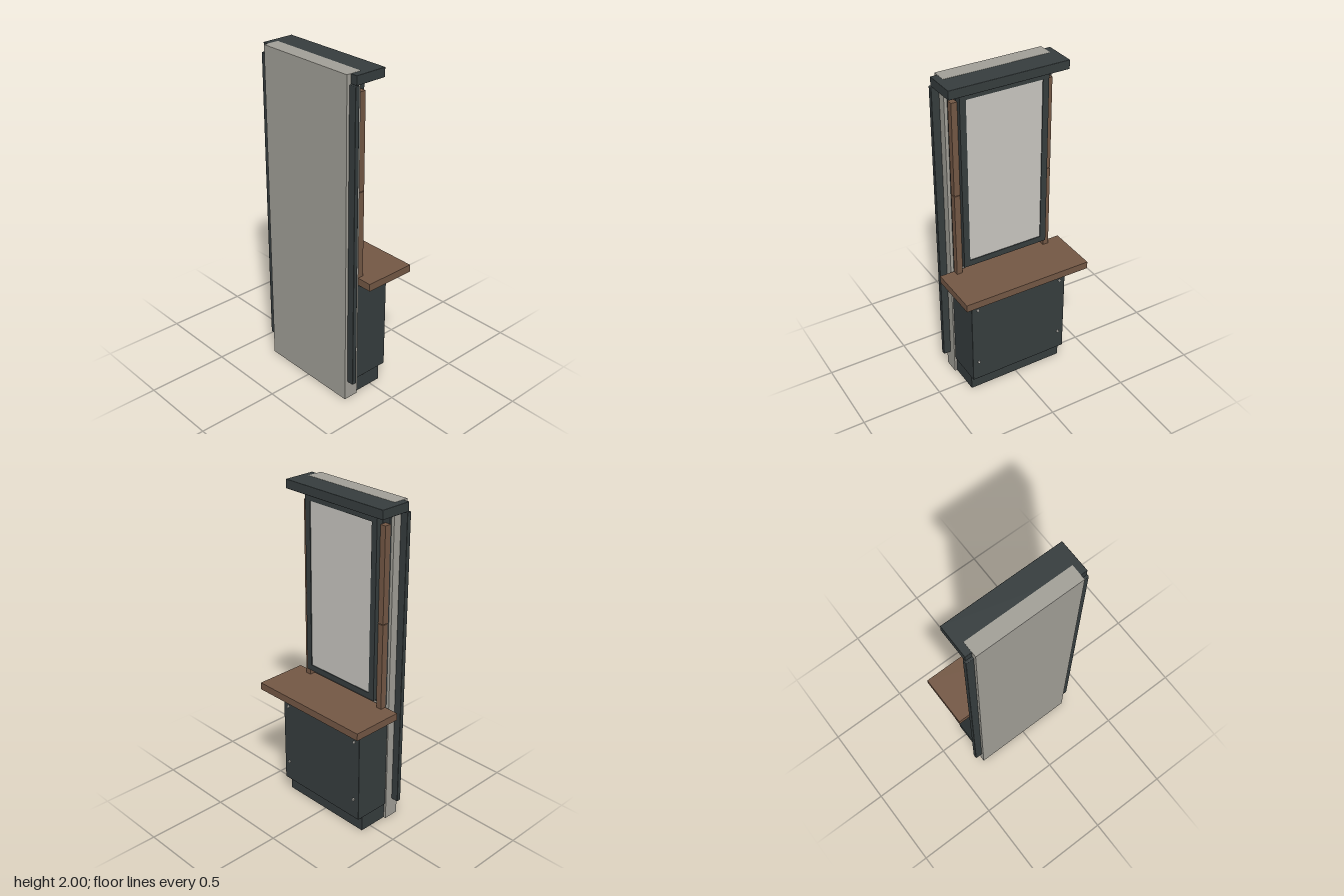
import * as THREE from 'three';
import { RoundedBoxGeometry } from 'three/addons/geometries/RoundedBoxGeometry.js';

const material = (name, color) => {
  const m = new THREE.MeshStandardMaterial({ color });
  m.name = name;
  return m;
};

export function createModel() {
  const group = new THREE.Group();
  const charcoal = material('charcoal', 0x363d3e);
  const stone = material('stone grey', 0xa2a098);
  const wood = material('brown wood', 0x745845);
  const pale = material('pale grey', 0xc9c7c1);

  const add = (name, geometry, mat) => {
    const mesh = new THREE.Mesh(geometry, mat);
    mesh.name = name;
    group.add(mesh);
    return mesh;
  };
  // Box from its limits on each axis, with optional softened edges
  const box = (name, mat, [x0, x1], [y0, y1], [z0, z1], radius = 0) => {
    const size = [x1 - x0, y1 - y0, z1 - z0];
    const geometry = radius
      ? new RoundedBoxGeometry(...size, 2, radius)
      : new THREE.BoxGeometry(...size);
    const mesh = add(name, geometry, mat);
    mesh.position.set((x0 + x1) / 2, (y0 + y1) / 2, (z0 + z1) / 2);
    return mesh;
  };

  // Upright back slab and canopy
  box('backSlab', stone, [-0.215, -0.12], [0, 2], [-0.327, 0.327]);
  box('canopy', charcoal, [-0.186, 0.012], [1.945, 1.999], [-0.368, 0.368], 0.003);
  box('canopyLight', pale, [-0.036, -0.026], [1.942, 1.946], [-0.29, 0.29]);

  // Base cabinet, plinth and counter
  box('plinth', charcoal, [-0.121, 0.07], [0, 0.11], [-0.312, 0.312]);
  box('cabinet', charcoal, [-0.121, 0.11], [0.1, 0.735], [-0.32, 0.32], 0.004);
  box('counter', wood, [-0.106, 0.215], [0.735, 0.78], [-0.405, 0.405]);

  // Screws on the cabinet front
  for (const y of [0.23, 0.625]) {
    for (const z of [-0.28, 0.28]) {
      const screw = add('screw', new THREE.CylinderGeometry(0.008, 0.008, 0.01, 16), pale);
      screw.rotation.z = -Math.PI / 2;
      screw.position.set(0.112, y, z);
    }
  }

  // Side rails and two-piece wooden battens, mirrored
  for (const s of [-1, 1]) {
    const span = (a, b) => (s > 0 ? [a, b] : [-b, -a]);
    box('sideRail', charcoal, [-0.198, -0.17], [0.12, 1.944], span(0.325, 0.373), 0.004);
    box('lowerBatten', wood, [-0.108, -0.07], [0.78, 1.308], span(0.276, 0.312));
    box('upperBatten', wood, [-0.108, -0.07], [1.312, 1.88], span(0.276, 0.312));
  }

  // Panel and mount behind the display
  box('backPanel', charcoal, [-0.121, -0.108], [0.79, 1.944], [-0.308, 0.308]);
  box('displayMount', charcoal, [-0.11, -0.085], [0.86, 1.9], [-0.25, 0.25]);

  // Display frame with its opening, drawn facing +z and turned to +x
  const rect = (Type, w, y0, y1) => new Type([
    new THREE.Vector2(-w, y0), new THREE.Vector2(w, y0),
    new THREE.Vector2(w, y1), new THREE.Vector2(-w, y1),
  ]);
  const outline = rect(THREE.Shape, 0.275, 0.83, 1.93);
  outline.holes.push(rect(THREE.Path, 0.237, 0.868, 1.892));
  const frame = add('displayFrame',
    new THREE.ExtrudeGeometry(outline, { depth: 0.045, bevelEnabled: false }), charcoal);
  frame.rotation.y = Math.PI / 2;
  frame.position.x = -0.09;
  box('screen', pale, [-0.086, -0.05], [0.866, 1.894], [-0.239, 0.239]);

  return group;
}
